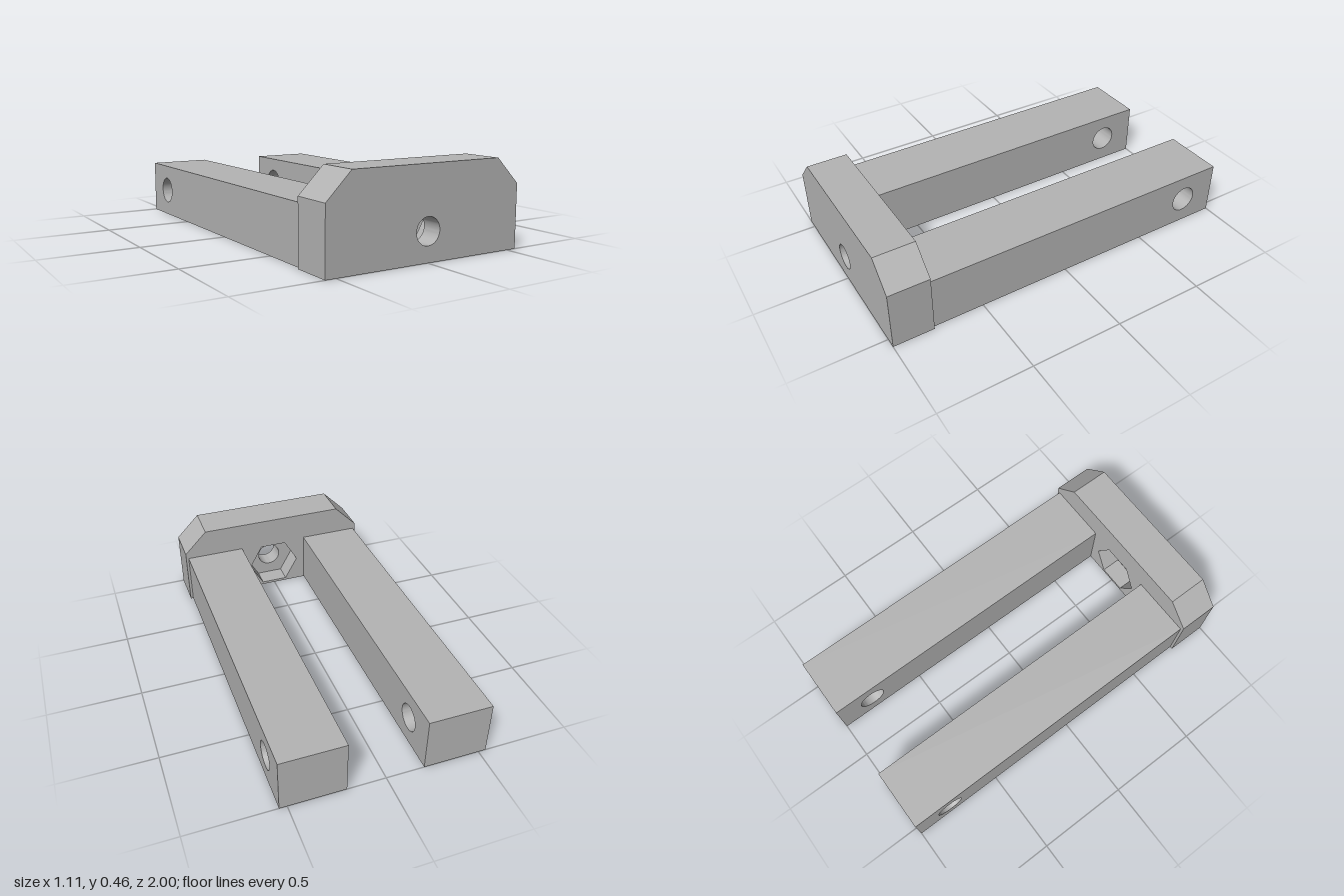
import * as THREE from 'three';
import { toCreasedNormals } from 'three/addons/utils/BufferGeometryUtils.js';

const HOLE_Y = 0.148;

// Flat outline from [x, y] corners
function outline(points) {
  return new THREE.Shape(points.map(([x, y]) => new THREE.Vector2(x, y)));
}

function roundHole(x, y, r) {
  return new THREE.Path().absarc(x, y, r, 0, Math.PI * 2, true);
}

function extrude(shape, depth) {
  const geometry = new THREE.ExtrudeGeometry(shape, { depth, bevelEnabled: false, curveSegments: 24 });
  return toCreasedNormals(geometry, 0.5);
}

export function createModel() {
  const group = new THREE.Group();
  const grey = new THREE.MeshStandardMaterial({ color: 0xb4b4b4 });
  grey.name = 'grey';

  const add = (name, geometry) => {
    const mesh = new THREE.Mesh(geometry, grey);
    mesh.name = name;
    group.add(mesh);
  };

  // End plate with chamfered top corners, in two layers
  const plate = (hole) => {
    const shape = outline([[-0.555, 0], [0.555, 0], [0.555, 0.326], [0.422, 0.458], [-0.422, 0.458], [-0.555, 0.326]]);
    shape.holes.push(hole);
    return extrude(shape, 0.11);
  };

  // Front layer: round bolt hole
  add('plateFront', plate(roundHole(0, HOLE_Y, 0.068)).translate(0, 0, 0.89));

  // Back layer: hexagonal nut pocket
  const hexagon = new THREE.Path();
  const corners = [];
  for (let i = 0; i < 6; i++) {
    const a = -i * Math.PI / 3;
    corners.push(new THREE.Vector2(0.153 * Math.cos(a), HOLE_Y + 0.153 * Math.sin(a)));
  }
  hexagon.setFromPoints(corners);
  add('plateBackWithNutPocket', plate(hexagon).translate(0, 0, 0.78));

  // Arms: side profile with a cross hole, extruded along x
  const profile = outline([[-0.78, 0], [1, 0], [1, 0.295], [-0.78, 0.295]]);
  profile.holes.push(roundHole(0.797, HOLE_Y, 0.073));
  for (const [name, x] of [['leftArm', 0.202], ['rightArm', -0.54]]) {
    add(name, extrude(profile, 0.338).rotateY(Math.PI / 2).translate(x, 0, 0));
  }

  return group;
}
